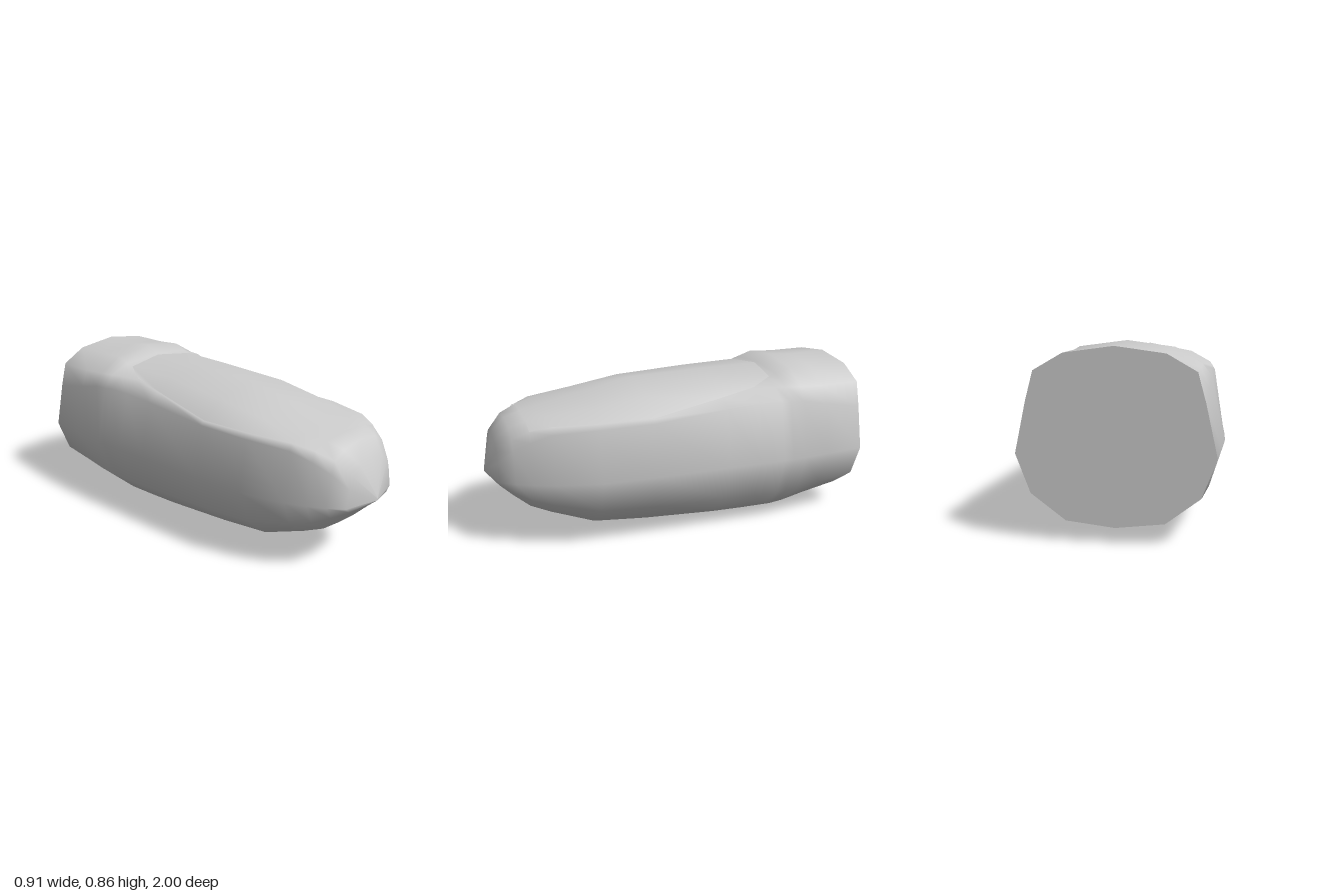
import * as THREE from 'three';

const material = new THREE.MeshStandardMaterial({ color: 0xcccccc, side: THREE.DoubleSide });

// Skin a surface over rows of points; rows advance toward +z, points run from -x to +x on top
function loft(rows, closed) {
  const n = rows[0].length;
  const index = [];
  for (let i = 0; i < rows.length - 1; i++) {
    for (let j = 0; j < (closed ? n : n - 1); j++) {
      const k = (j + 1) % n;
      const a = i * n + j, b = i * n + k, c = a + n, d = b + n;
      index.push(a, c, b, b, c, d);
    }
  }
  return toGeometry(rows.flat(), index);
}

function toGeometry(points, index) {
  const geometry = new THREE.BufferGeometry();
  geometry.setAttribute('position', new THREE.Float32BufferAttribute(points.flat(), 3));
  geometry.setIndex(index);
  geometry.computeVertexNormals();
  return geometry;
}

// Mirror the right half (first point on the centre line) to the left
const mirrored = (half) => half.map(([x, y, z]) => [-x, y, z]).reverse();

// Full finger ring: centre top, three shoulder points, side, belly, bottom
function ring([z, w, bottom, top, x1, y1, x2, y2, x3, y3]) {
  const mid = 0.39, drop = mid - bottom;
  const half = [
    [0, top, z], [x1, y1, z], [x2, y2, z], [x3, y3, z], [w, mid, z],
    [0.85 * w, mid - 0.55 * drop, z], [0.495 * w, mid - 0.92 * drop, z], [0, bottom, z],
  ];
  return [...half, ...mirrored(half.slice(1, -1))];
}

// z, half width, bottom y, top y, then the three shoulder points
const sections = [
  [-1.0, 0.435, 0.075, 0.855, 0.22, 0.825, 0.35, 0.75, 0.385, 0.62],
  [-0.78, 0.447, 0.04, 0.85, 0.22, 0.825, 0.35, 0.75, 0.39, 0.66],
  [-0.64, 0.453, 0.012, 0.863, 0.225, 0.833, 0.35, 0.758, 0.39, 0.69],
  [-0.56, 0.455, 0.005, 0.825, 0.22, 0.805, 0.335, 0.76, 0.39, 0.695],
  [-0.51, 0.453, 0.006, 0.803, 0.21, 0.782, 0.31, 0.758, 0.385, 0.70],
  [-0.38, 0.448, 0.009, 0.795, 0.2, 0.77, 0.29, 0.757, 0.38, 0.70],
  [-0.2, 0.437, 0.015, 0.79, 0.2, 0.757, 0.305, 0.727, 0.375, 0.69],
  [0.2, 0.417, 0.045, 0.785, 0.22, 0.74, 0.36, 0.68, 0.376, 0.66],
  [0.48, 0.395, 0.075, 0.735, 0.22, 0.705, 0.338, 0.682, 0.355, 0.655],
  [0.7, 0.33, 0.16, 0.695, 0.17, 0.685, 0.283, 0.675, 0.298, 0.64],
  [0.8, 0.285, 0.205, 0.69, 0.155, 0.68, 0.237, 0.65, 0.258, 0.6],
  [0.88, 0.24, 0.275, 0.665, 0.13, 0.65, 0.195, 0.61, 0.215, 0.55],
  [0.95, 0.185, 0.345, 0.595, 0.09, 0.58, 0.145, 0.54, 0.165, 0.48],
  [1.0, 0, 0.39, 0.4, 0, 0.4, 0, 0.4, 0, 0.395],
];

// Centre z, z offsets of the outer points, top y, then the two outer points
const nailRows = [
  [-0.55, 0.03, 0.16, 0.82, 0.22, 0.795, 0.285, 0.763],
  [-0.2, 0, 0, 0.818, 0.215, 0.79, 0.3, 0.731],
  [0.2, 0, 0, 0.81, 0.24, 0.765, 0.357, 0.683],
  [0.48, 0, 0, 0.756, 0.23, 0.725, 0.337, 0.684],
  [0.7, 0, 0, 0.712, 0.18, 0.701, 0.283, 0.678],
  [0.8, 0, 0, 0.692, 0.156, 0.682, 0.238, 0.652],
];

function nailRow([z, dz1, dz2, top, x1, y1, x2, y2]) {
  const half = [[0, top, z], [x1, y1, z + dz1], [x2, y2, z + dz2]];
  return [...mirrored(half.slice(1)), ...half];
}

export function createModel() {
  const group = new THREE.Group();
  group.name = 'fingertip';
  const add = (name, geometry) => {
    const mesh = new THREE.Mesh(geometry, material);
    mesh.name = name;
    group.add(mesh);
  };

  const rings = sections.map(ring);
  add('finger', loft(rings, true));
  add('nail', loft(nailRows.map(nailRow), false));

  // Flat cut at the back
  const back = rings[0];
  const capIndex = back.flatMap((_, j) => [back.length, j, (j + 1) % back.length]);
  add('backCap', toGeometry([...back, [0, 0.45, -1]], capIndex));

  return group;
}
